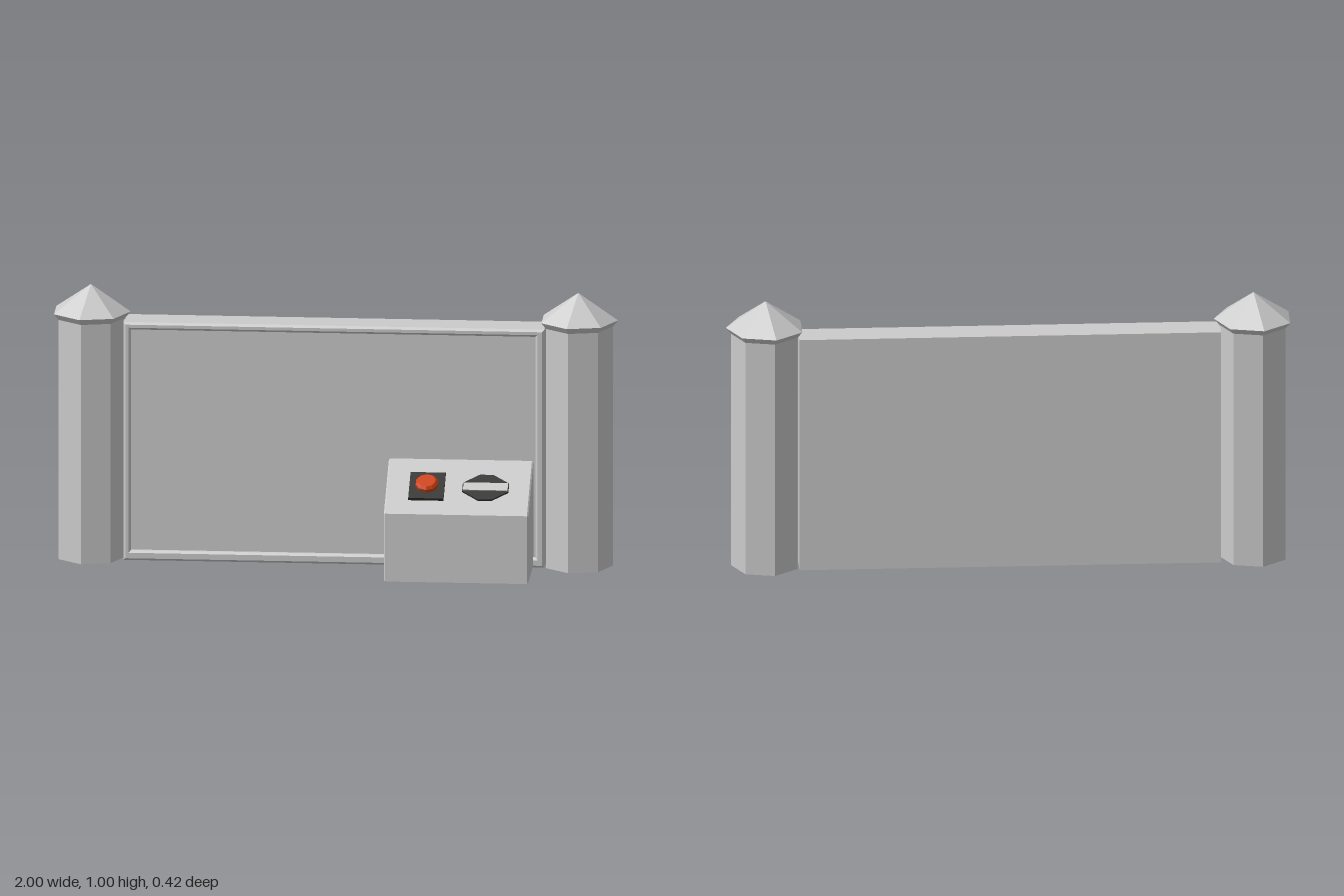
import * as THREE from 'three';

const material = (color) => new THREE.MeshStandardMaterial({ color, flatShading: true });

function add(parent, name, geometry, mat, x = 0, y = 0, z = 0) {
  const mesh = new THREE.Mesh(geometry, mat);
  mesh.name = name;
  mesh.position.set(x, y, z);
  parent.add(mesh);
  return mesh;
}

function polygon(points) {
  return new THREE.Shape(points.map(([x, y]) => new THREE.Vector2(x, y)));
}

function rectangle(x0, y0, x1, y1) {
  return polygon([[x0, y0], [x1, y0], [x1, y1], [x0, y1]]);
}

export function createModel() {
  const model = new THREE.Group();
  model.name = 'wallWithControlBox';
  const grey = material(0xcccccc);
  const dark = material(0x333330);
  const red = material(0xd0400f);

  // Seven-sided pillars with flared, pointed caps
  const tube = (top, bottom, height) =>
    new THREE.CylinderGeometry(top, bottom, height, 7, 1, false, Math.PI / 2);
  for (const [side, x] of [['right', -0.873], ['left', 0.857]]) {
    const pillar = new THREE.Group();
    pillar.name = side + 'Pillar';
    pillar.position.set(x, 0, -0.073);
    add(pillar, 'shaft', tube(0.123, 0.123, 0.876), grey, 0, 0.438);
    add(pillar, 'capFlare', tube(0.141, 0.123, 0.022), grey, 0, 0.886);
    add(pillar, 'capRoof', tube(0, 0.141, 0.098), grey, 0, 0.946);
    model.add(pillar);
  }

  // Wall slab with a raised, bevelled border on the front
  add(model, 'wallPanel', new THREE.BoxGeometry(1.495, 0.87, 0.102), grey, -0.0075, 0.435, -0.089);
  const b = 0.008;
  const border = rectangle(-0.755 + b, b, 0.74 - b, 0.87 - b);
  border.holes.push(rectangle(-0.728 - b, 0.036 - b, 0.708 + b, 0.843 + b));
  add(model, 'wallBorder', new THREE.ExtrudeGeometry(border, {
    depth: 0.03, bevelSize: b, bevelThickness: b, bevelSegments: 1,
  }), grey, 0, 0, -0.058);

  // Control box: sloped side profile extruded across x
  const e = 0.005;
  const profile = polygon([
    [0.05, e], [0.05, 0.393 - e], [0.02, 0.377 - e], [-0.21 + e, 0.25 - e], [-0.21 + e, e],
  ]);
  const box = new THREE.ExtrudeGeometry(profile, {
    depth: 0.513 - 2 * e, bevelSize: e, bevelThickness: e, bevelSegments: 1,
  });
  box.rotateY(Math.PI / 2);
  // keep the buried back edge inside the wall slab
  add(model, 'controlBox', box, grey, 0.187 + e, 0, 0);

  // Controls lie on the slope: local y is the slope normal, local -z runs uphill
  const controls = new THREE.Group();
  controls.name = 'controls';
  controls.position.set(0, 0.316, 0.09);
  controls.rotation.x = Math.atan(0.552);
  model.add(controls);

  // Push button
  add(controls, 'buttonPlate', new THREE.BoxGeometry(0.125, 0.016, 0.134), dark, 0.332, 0.002, 0);
  const buttonProfile = [[0, 0.008], [0.036, 0.008], [0.041, 0.013], [0.041, 0.025], [0.032, 0.034], [0, 0.034]]
    .map(([r, y]) => new THREE.Vector2(r, y));
  const button = new THREE.LatheGeometry(buttonProfile, 10);
  add(controls, 'button', button, red, 0.332, 0, 0);

  // Six-sided dial plate with a light bar across it
  const dialShape = polygon([
    [-0.082, -0.021], [-0.024, -0.064], [0.024, -0.064],
    [0.082, -0.021], [0.082, 0.021], [0.024, 0.064],
    [-0.024, 0.064], [-0.082, 0.021],
  ]);
  const dial = new THREE.ExtrudeGeometry(dialShape, { depth: 0.012, bevelEnabled: false });
  dial.rotateX(-Math.PI / 2);
  add(controls, 'dialPlate', dial, dark, 0.54, -0.006, 0);
  add(controls, 'dialBar', new THREE.BoxGeometry(0.158, 0.012, 0.038), grey, 0.54, 0.004, 0);

  return model;
}
